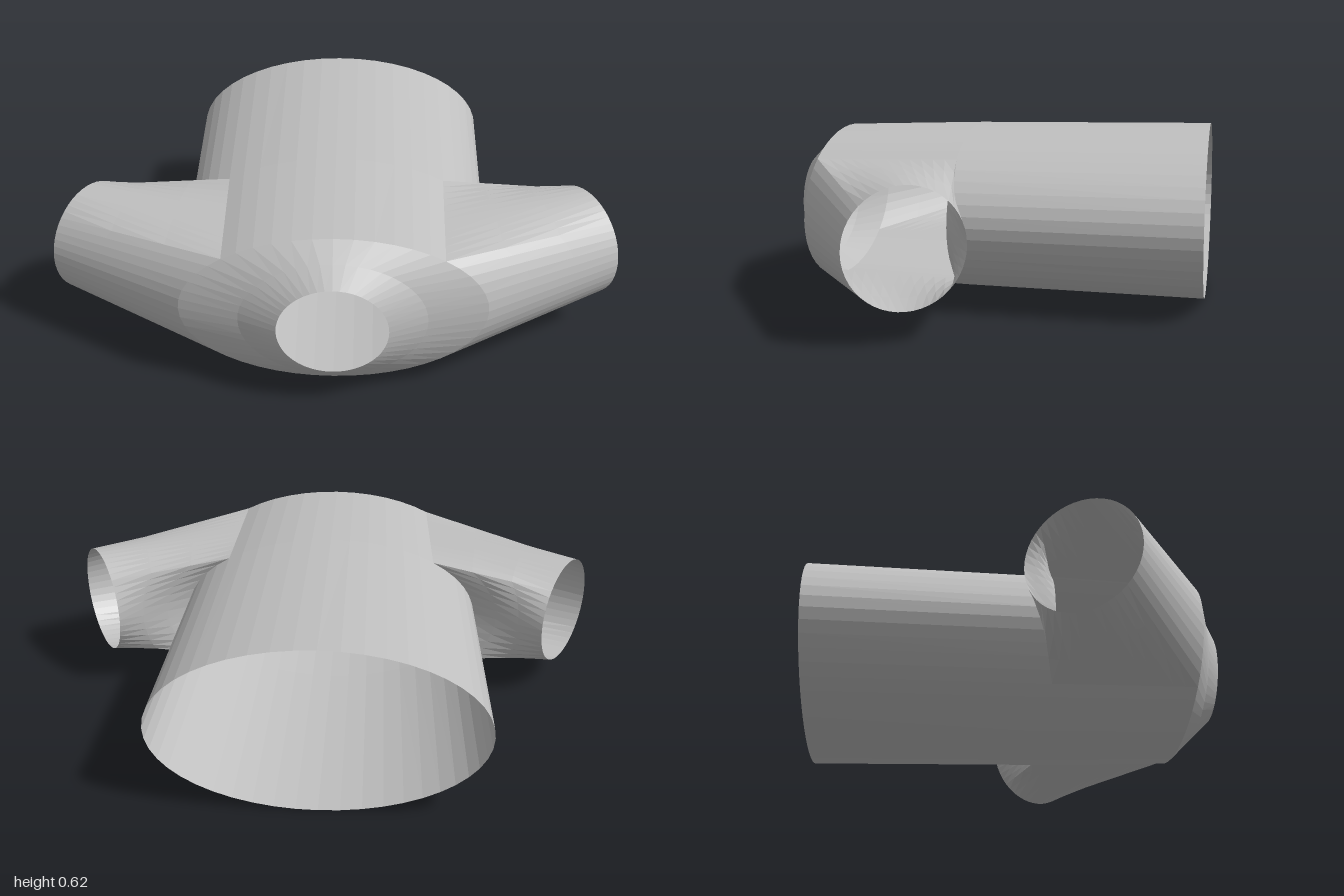
import * as THREE from 'three';

const SEG = 48, CY = 0.311;

// Cross-sections of the body: [z, half width, half height]
const BACK = [-0.745, 0.575, 0.309];
const ARM_BACK = [0.11, 0.545, 0.297];
const ARM_FRONT = [0.62, 0.52, 0.28];
const YOKE = [0.683, 0.315, 0.222];
const NECK = [0.745, 0.185, 0.162];

const ellipse = ([z, rx, ry], a) =>
  new THREE.Vector3(rx * Math.cos(a), CY + ry * Math.sin(a), z);

// Skins a closed loop of points at(angle, v), v running 0..1 in rows; skip(angle) leaves gaps
function skin(at, rows, flip = false, skip = () => false) {
  const pos = [], index = [];
  for (let j = 0; j <= rows; j++)
    for (let i = 0; i <= SEG; i++) pos.push(...at((i / SEG) * Math.PI * 2, j / rows).toArray());
  for (let j = 0; j < rows; j++)
    for (let i = 0; i < SEG; i++) {
      if (skip(((i + 0.5) / SEG) * Math.PI * 2)) continue;
      const a = j * (SEG + 1) + i, b = a + 1, d = a + SEG + 1, c = d + 1;
      if (flip) index.push(a, c, b, a, d, c);
      else index.push(a, b, c, a, c, d);
    }
  const g = new THREE.BufferGeometry();
  g.setAttribute('position', new THREE.Float32BufferAttribute(pos, 3));
  g.setIndex(index);
  const flat = g.toNonIndexed();
  flat.computeVertexNormals();
  return flat;
}

const between = (s0, s1) => (a, v) => ellipse(s0, a).lerp(ellipse(s1, a), v);

// Point of the four-sided armhole: front edge, top edge, back edge, bottom edge
function armhole(t) {
  const q = Math.PI / 4;
  const deg = t > 7 * q ? t - 8 * q : t;
  if (deg <= q) return ellipse(ARM_FRONT, deg);
  if (deg >= 3 * q && deg <= 5 * q) return ellipse(ARM_BACK, Math.PI - deg);
  const top = deg < 3 * q;
  const k = top ? (deg - q) / (2 * q) : (7 * q - deg) / (2 * q);
  const a = top ? q : -q;
  return ellipse(ARM_FRONT, a).lerp(ellipse(ARM_BACK, a), k);
}

// Round opening at the end of the sleeve, turned 30 degrees forward
function cuff(t) {
  const r = 0.202, c = Math.cos(t) * r;
  return new THREE.Vector3(0.897 + 0.5 * c, CY + Math.sin(t) * r * 0.99, 0.157 + 0.866 * c);
}

export function createModel() {
  const group = new THREE.Group();
  const cloth = new THREE.MeshStandardMaterial({ color: 0xc0c0c0 });
  cloth.name = 'grey cloth';
  cloth.side = THREE.DoubleSide;
  cloth.flatShading = true;

  const add = (name, geometry) => {
    const mesh = new THREE.Mesh(geometry, cloth);
    mesh.name = name;
    group.add(mesh);
  };

  // Open body tube, with the sides left out between the armhole sections
  add('lowerBody', skin(between(BACK, ARM_BACK), 1));
  add('chest', skin(between(ARM_BACK, ARM_FRONT), 1, false,
    (a) => Math.abs(Math.cos(a)) > Math.SQRT1_2));
  add('shoulderYoke', skin(between(ARM_FRONT, YOKE), 1));
  add('neckline', skin(between(YOKE, NECK), 1));

  // Sleeves, lofted from the armhole to the round cuff
  for (const s of [1, -1]) {
    const at = (t, v) => {
      const p = armhole(t).lerp(cuff(t), v);
      p.x *= s;
      return p;
    };
    add(s > 0 ? 'leftSleeve' : 'rightSleeve', skin(at, 3, s > 0));
  }
  return group;
}
